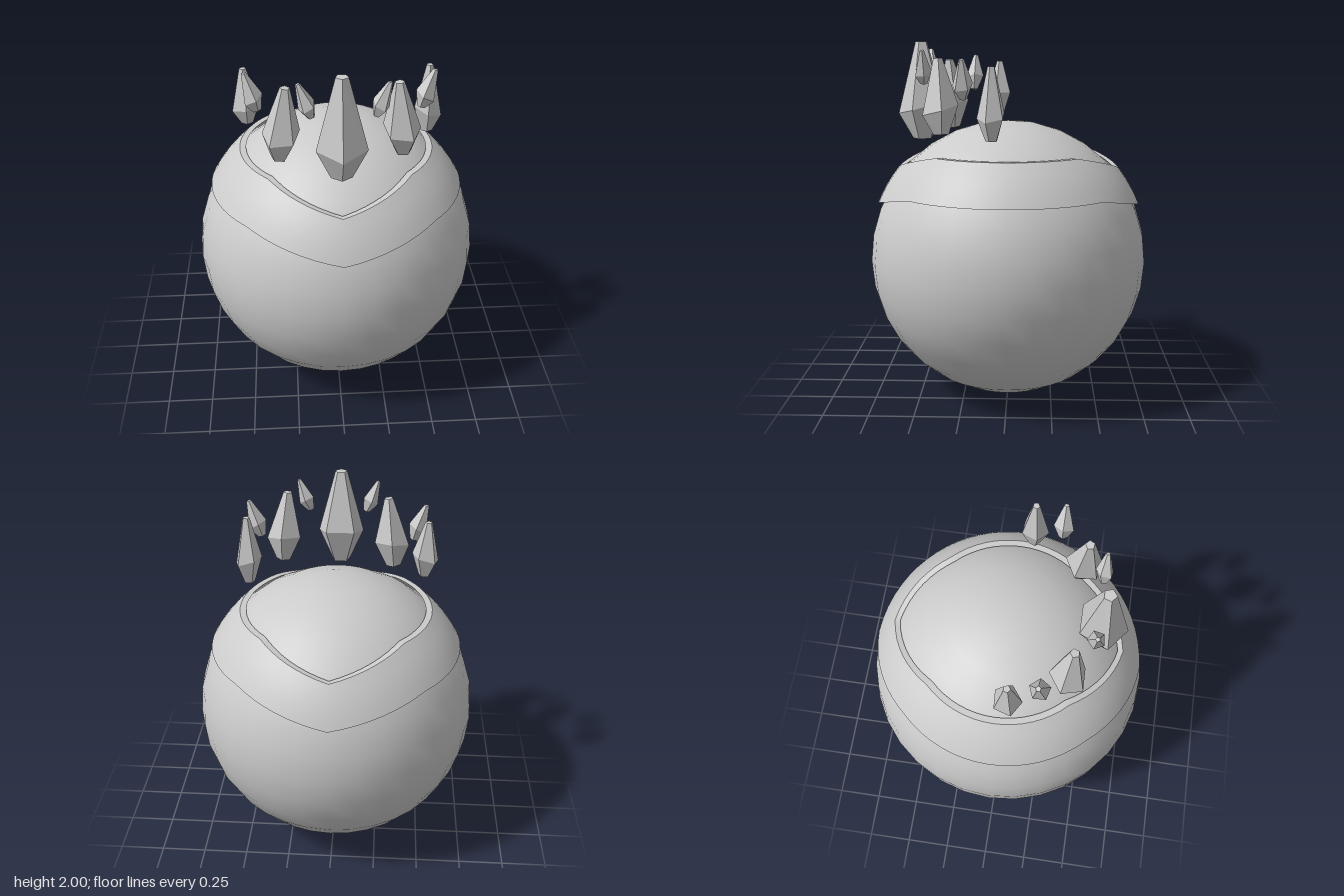
import * as THREE from 'three';
import { toCreasedNormals } from 'three/addons/utils/BufferGeometryUtils.js';

const R = 0.783; // ball radius, also its centre height
const smooth = new THREE.MeshStandardMaterial({ color: 0xcccccc });
const faceted = new THREE.MeshStandardMaterial({ color: 0xcccccc, flatShading: true });

function add(parent, name, geometry, material) {
  const mesh = new THREE.Mesh(geometry, material);
  mesh.name = name;
  parent.add(mesh);
  return mesh;
}

// Band hugging the ball, its edges dipping to a point at front and back
function bandGeometry() {
  const segments = 64, rows = 4;
  const section = [[1.19, 0.79]]; // [height, distance from ball centre]
  for (let i = 0; i <= rows; i++) {
    const t = i / rows;
    section.push([1.19 + 0.21 * t, 0.806 + 0.006 * t]);
  }
  section.push([1.4, 0.79]);
  const n = section.length, positions = [], index = [];
  for (let s = 0; s < segments; s++) {
    const a = (s / segments) * Math.PI * 2;
    const dip = 0.1 * Math.max(0, 1 - Math.abs(Math.sin(a)) / 0.7);
    for (const [height, dist] of section) {
      const y = height - dip;
      const r = Math.sqrt(dist * dist - (y - R) ** 2);
      positions.push(r * Math.sin(a), y, r * Math.cos(a));
    }
    const next = (s + 1) % segments;
    for (let j = 0; j < n; j++) {
      const k = (j + 1) % n;
      const p = s * n + j, q = next * n + j, u = s * n + k, v = next * n + k;
      index.push(p, q, v, p, v, u);
    }
  }
  const g = new THREE.BufferGeometry();
  g.setAttribute('position', new THREE.Float32BufferAttribute(positions, 3));
  g.setIndex(index);
  return toCreasedNormals(g, 0.6);
}

// Five-sided crystal of unit height and unit radius, girdle lower at the front
function crystalGeometry() {
  const profile = [[0, 0], [0.42, 0], [1, 0.33], [0.25, 1], [0, 1]];
  const g = new THREE.LatheGeometry(profile.map(([x, y]) => new THREE.Vector2(x, y)), 5);
  const pos = g.attributes.position;
  for (let i = 0; i < pos.count; i++) {
    const y = pos.getY(i);
    if (y > 0.1 && y < 0.9) pos.setY(i, y - 0.07 * pos.getZ(i));
  }
  return g;
}

export function createModel() {
  const model = new THREE.Group();
  model.name = 'crownedBall';

  add(model, 'ball', new THREE.SphereGeometry(R, 32, 16), smooth).position.y = R;
  add(model, 'headband', bandGeometry(), smooth);

  // Floating crystals: name, bottom point, top point, radius, turn
  const crystals = [
    ['centreCrystal', [0, 1.465, 0.48], [0, 2, 0.48], 0.136, 0],
    ['leftInnerShard', [0.17, 1.78, 0.45], [0.235, 1.955, 0.45], 0.047, 0.5],
    ['rightInnerShard', [-0.145, 1.78, 0.45], [-0.21, 1.955, 0.45], 0.047, -0.5],
    ['leftLargeCrystal', [0.325, 1.52, 0.345], [0.29, 1.915, 0.36], 0.1, 0.5],
    ['rightLargeCrystal', [-0.31, 1.5, 0.34], [-0.27, 1.895, 0.355], 0.1, -0.6],
    ['leftOuterShard', [0.425, 1.715, 0.22], [0.49, 1.915, 0.22], 0.055, 0.9],
    ['rightOuterShard', [-0.415, 1.715, 0.22], [-0.475, 1.915, 0.21], 0.055, -0.9],
    ['leftEndCrystal', [0.485, 1.505, 0.07], [0.485, 1.88, 0.07], 0.076, 1.2],
    ['rightEndCrystal', [-0.475, 1.575, 0.065], [-0.485, 1.88, 0.065], 0.076, -1.2],
  ];
  const geometry = crystalGeometry();
  const up = new THREE.Vector3(0, 1, 0);
  const crown = new THREE.Group();
  crown.name = 'crystalCrown';
  model.add(crown);
  for (const [name, bottom, top, radius, turn] of crystals) {
    const from = new THREE.Vector3(...bottom);
    const axis = new THREE.Vector3(...top).sub(from);
    const crystal = add(crown, name, geometry, faceted);
    crystal.position.copy(from);
    crystal.scale.set(radius, axis.length(), radius);
    crystal.quaternion.setFromUnitVectors(up, axis.normalize());
    crystal.rotateY(turn);
  }
  return model;
}
